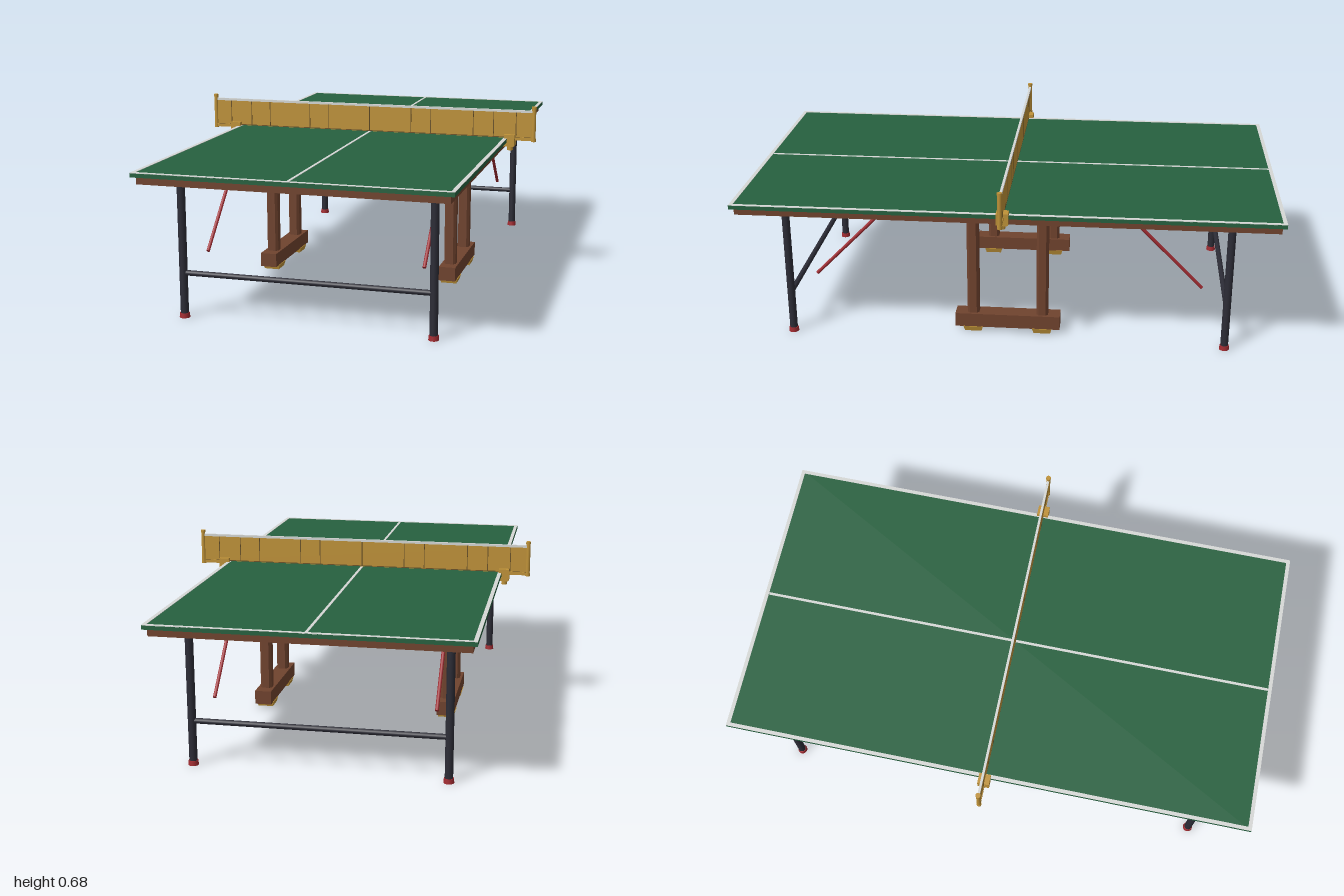
import * as THREE from 'three';

export function createModel() {
  const root = new THREE.Group();
  root.name = 'tableTennisTable';

  const mat = (name, color) => {
    const m = new THREE.MeshStandardMaterial({ color });
    m.name = name;
    return m;
  };
  const green = mat('tableGreen', 0x26613f);
  const brown = mat('woodBrown', 0x70432e);
  const gold = mat('ochre', 0xbf9238);
  const black = mat('frameBlack', 0x2c2c36);
  const red = mat('red', 0xa02a30);
  const white = mat('lineWhite', 0xd6d8d6);
  const cord = mat('cordBrown', 0x6b5226);

  const add = (name, geo, m, x, y, z) => {
    const mesh = new THREE.Mesh(geo, m);
    mesh.name = name;
    mesh.position.set(x, y, z);
    root.add(mesh);
    return mesh;
  };
  // Box given by its centre in x and z, and its bottom and top in y
  const box = (name, m, w, d, y0, y1, x, z) =>
    add(name, new THREE.BoxGeometry(w, y1 - y0, d), m, x, (y0 + y1) / 2, z);
  // Cylinder between two points
  const rod = (name, m, a, b, r, sides = 12, r2 = r) => {
    const from = new THREE.Vector3(...a), to = new THREE.Vector3(...b);
    const dir = to.clone().sub(from);
    const mid = from.clone().add(to).multiplyScalar(0.5);
    const mesh = add(name, new THREE.CylinderGeometry(r2, r, dir.length(), sides), m, mid.x, mid.y, mid.z);
    mesh.quaternion.setFromUnitVectors(new THREE.Vector3(0, 1, 0), dir.normalize());
    return mesh;
  };
  const sides = [-1, 1];

  // Playing surface, painted lines and the wooden apron below
  box('tableTop', green, 1.11, 2, 0.538, 0.553, 0, 0);
  box('centreLine', white, 0.01, 1.97, 0.552, 0.5545, 0, 0);
  for (const s of sides) {
    box('sideLine', white, 0.014, 2, 0.552, 0.5545, s * 0.548, 0);
    box('endLine', white, 1.082, 0.014, 0.552, 0.5545, 0, s * 0.993);
    box('sideApron', brown, 0.022, 1.97, 0.512, 0.538, s * 0.529, 0);
    box('endApron', brown, 1.036, 0.022, 0.512, 0.538, 0, s * 0.974);
  }

  // End frames: round legs, red foot caps, crossbars and slanted braces
  for (const sz of sides) {
    const z = sz * 0.82;
    rod('legCrossbar', black, [-0.45, 0.164, z], [0.45, 0.164, z], 0.01);
    for (const sx of sides) {
      rod('leg', black, [sx * 0.453, 0.015, z], [sx * 0.453, 0.538, z], 0.0145, 16);
      rod('footCap', red, [sx * 0.453, 0, z], [sx * 0.453, 0.017, z], 0.019, 16, 0.017);
      rod('brace', red, [sx * 0.397, 0.222, sz * 0.728], [sx * 0.397, 0.538, sz * 0.415], 0.0065, 8);
    }
  }

  // Central wooden supports with a floor beam and tapered pads
  const postShape = new THREE.Shape();
  const h = 0.0225, c = 0.009;
  [[-h + c, -h], [h - c, -h], [h, -h + c], [h, h - c], [h - c, h], [-h + c, h], [-h, h - c], [-h, -h + c]]
    .forEach(([x, y], i) => (i ? postShape.lineTo(x, y) : postShape.moveTo(x, y)));
  const postGeo = new THREE.ExtrudeGeometry(postShape, { depth: 0.468, bevelEnabled: false });
  postGeo.rotateX(-Math.PI / 2);
  const padGeo = new THREE.CylinderGeometry(0.7071, 0.6, 1, 4, 1).toNonIndexed();
  padGeo.rotateY(Math.PI / 4);
  padGeo.computeVertexNormals();
  padGeo.scale(0.07, 0.02, 0.075);
  for (const sx of sides) {
    const x = sx * 0.365;
    box('floorBeam', brown, 0.065, 0.4, 0.019, 0.073, x, 0);
    for (const sz of sides) {
      add('supportPost', postGeo, brown, x, 0.07, sz * 0.132);
      add('floorPad', padGeo, gold, x, 0.01, sz * 0.132);
    }
  }

  // Net with its white top tape, bottom cord and upright strings
  box('net', gold, 1.3, 0.006, 0.555, 0.655, 0, 0);
  box('netTape', white, 1.31, 0.009, 0.655, 0.664, 0, 0);
  box('netBottomCord', cord, 1.3, 0.008, 0.556, 0.559, 0, 0);
  for (const x of [-0.588, -0.5, -0.42, -0.25, -0.17, 0, 0.17, 0.25, 0.42, 0.5, 0.588])
    box('netString', cord, 0.003, 0.008, 0.557, 0.655, x, 0);

  // Net posts, arms and table clamps
  for (const s of sides) {
    rod('netPost', gold, [s * 0.656, 0.547, 0], [s * 0.656, 0.672, 0], 0.008);
    rod('netPostCap', gold, [s * 0.656, 0.67, 0], [s * 0.656, 0.679, 0], 0.0095);
    rod('netPostBase', gold, [s * 0.656, 0.543, 0], [s * 0.656, 0.555, 0], 0.0095);
    box('netArm', gold, 0.09, 0.012, 0.546, 0.558, s * 0.61, 0);
    box('clampJaw', gold, 0.029, 0.044, 0.525, 0.569, s * 0.5705, 0);
    box('clampTop', gold, 0.04, 0.044, 0.554, 0.569, s * 0.565, 0);
    box('clampBottom', gold, 0.04, 0.036, 0.522, 0.536, s * 0.562, 0);
    rod('clampScrew', gold, [s * 0.566, 0.507, 0], [s * 0.566, 0.526, 0], 0.011);
  }
  return root;
}
